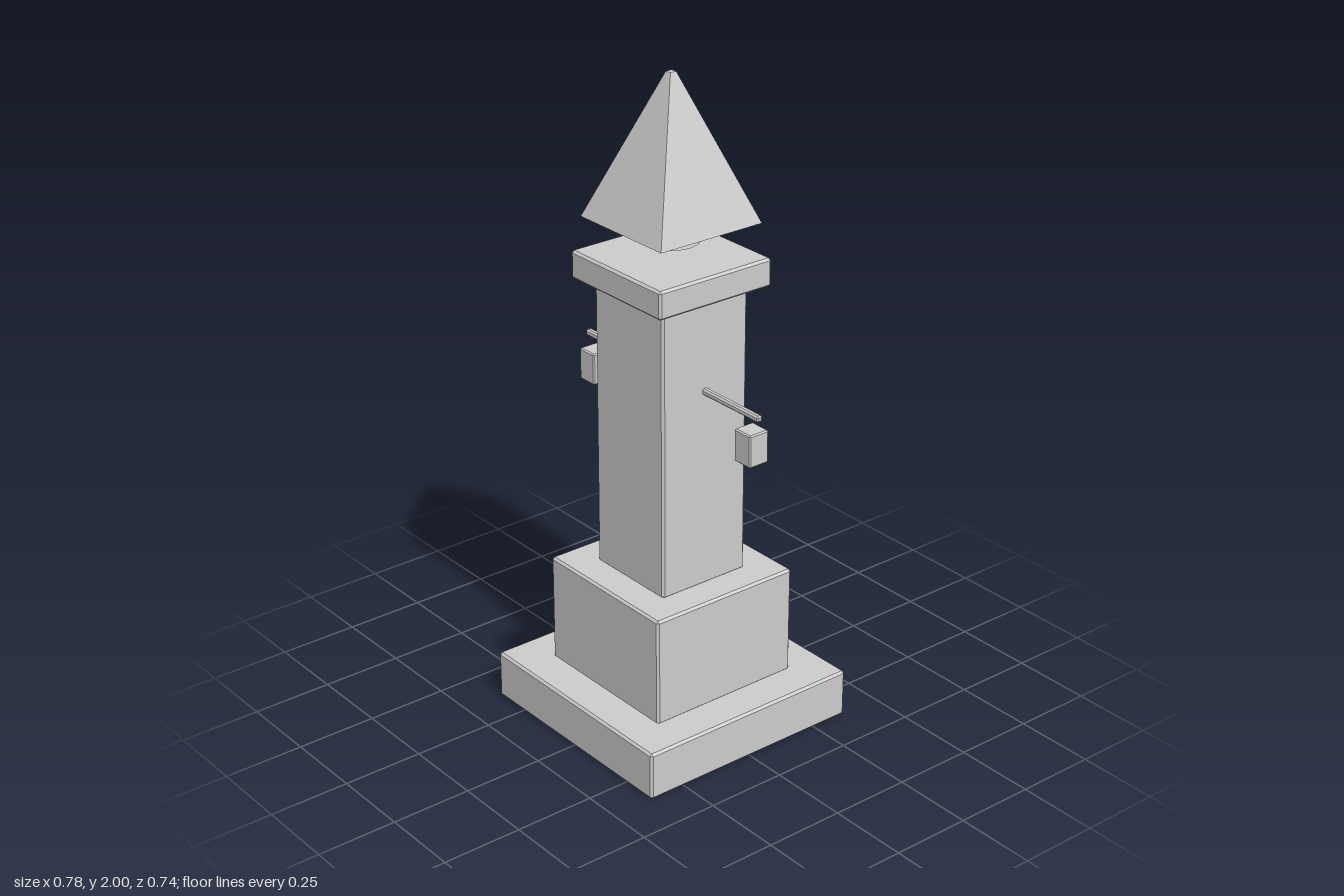
import * as THREE from 'three';
import { ConvexGeometry } from 'three/addons/geometries/ConvexGeometry.js';

const stone = new THREE.MeshStandardMaterial({ color: 0xcccccc });
stone.name = 'stone';

// Box with chamfered edges: each face rectangle is inset by the bevel.
function chamferBox(w, h, d, bevel) {
  const half = [w / 2, h / 2, d / 2];
  const points = [];
  for (const sx of [-1, 1]) for (const sy of [-1, 1]) for (const sz of [-1, 1]) {
    for (let axis = 0; axis < 3; axis++) {
      const p = half.map((v, i) => (i === axis ? v : v - bevel));
      points.push(new THREE.Vector3(p[0] * sx, p[1] * sy, p[2] * sz));
    }
  }
  return new ConvexGeometry(points);
}

export function createModel() {
  const model = new THREE.Group();
  model.name = 'monument';

  function add(name, geometry, x, y, z = 0) {
    const mesh = new THREE.Mesh(geometry, stone);
    mesh.name = name;
    mesh.position.set(x, y, z);
    model.add(mesh);
    return mesh;
  }

  // Stacked square blocks: name, width, bottom, top
  const blocks = [
    ['base', 0.74, 0, 0.15],
    ['plinth', 0.504, 0.145, 0.487],
    ['shaft', 0.306, 0.482, 1.38],
    ['capital', 0.4, 1.382, 1.468],
  ];
  for (const [name, width, bottom, top] of blocks) {
    add(name, chamferBox(width, top - bottom, width, 0.007), 0, (bottom + top) / 2);
  }

  // Round neck and the pyramid roof
  add('neck', new THREE.CylinderGeometry(0.062, 0.083, 0.07, 32), 0, 1.545);
  const roof = new THREE.CylinderGeometry(0.01 * Math.SQRT2, 0.179 * Math.SQRT2, 0.43, 4, 1)
    .rotateY(Math.PI / 4).toNonIndexed();
  roof.computeVertexNormals();
  add('roof', roof, 0, 1.785);

  // Side arms with hanging lanterns
  for (const [side, s] of [['left', 1], ['right', -1]]) {
    add(side + 'Arm', chamferBox(0.25, 0.02, 0.02, 0.005), s * 0.265, 1.1);
    add(side + 'Lantern', chamferBox(0.068, 0.1, 0.068, 0.004), s * 0.354, 1.007);
  }
  return model;
}
